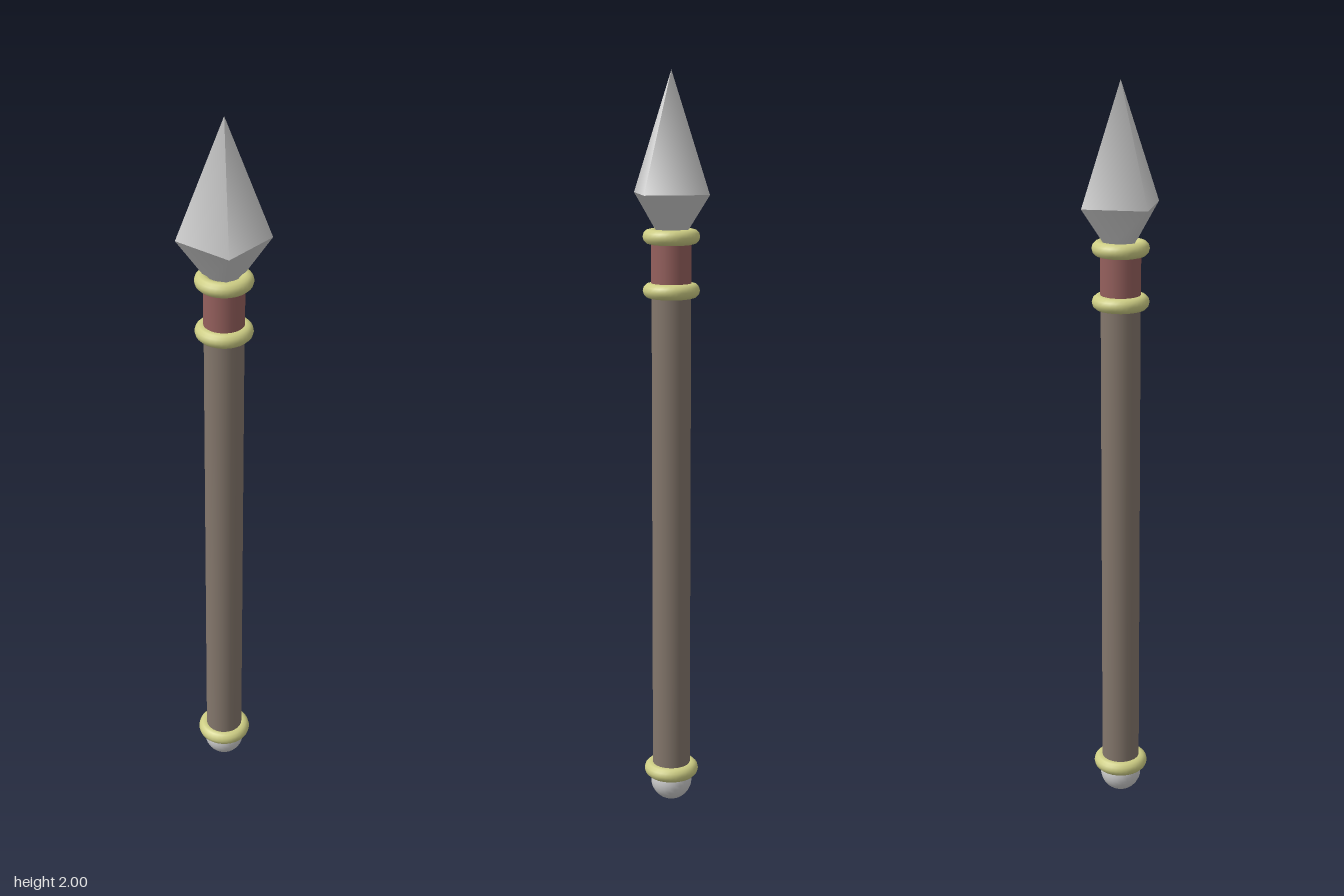
import * as THREE from 'three';

export function createModel() {
  const spear = new THREE.Group();
  spear.name = 'spear';
  const steel = new THREE.MeshStandardMaterial({ color: 0xcccccc });
  const wood = new THREE.MeshStandardMaterial({ color: 0x84776c });
  const leather = new THREE.MeshStandardMaterial({ color: 0x95605d });
  const brass = new THREE.MeshStandardMaterial({ color: 0xcdcd84 });

  function add(name, geometry, material, y) {
    const mesh = new THREE.Mesh(geometry, material);
    mesh.name = name;
    mesh.position.y = y;
    spear.add(mesh);
    return mesh;
  }

  // Round pommel, wooden shaft and wrapped grip below the head
  add('pommel', new THREE.SphereGeometry(0.057, 24, 16), steel, 0.062);
  add('shaft', new THREE.CylinderGeometry(0.052, 0.052, 1.37, 24), wood, 0.755);
  add('grip', new THREE.CylinderGeometry(0.053, 0.053, 0.14, 24), leather, 1.51);

  // Metal rings at the foot and at both ends of the grip
  const ring = new THREE.TorusGeometry(0.055, 0.02, 12, 32).rotateX(Math.PI / 2);
  [['footRing', 0.096], ['lowerGripRing', 1.44], ['upperGripRing', 1.58]]
    .forEach(([name, y]) => add(name, ring, brass, y));

  // Four-sided spear point over a tapering socket, corners on the x and z axes
  add('point', new THREE.ConeGeometry(0.12, 0.31, 4), steel, 1.845);
  add('socket', new THREE.CylinderGeometry(0.12, 0.04, 0.11, 4), steel, 1.635);

  return spear;
}
